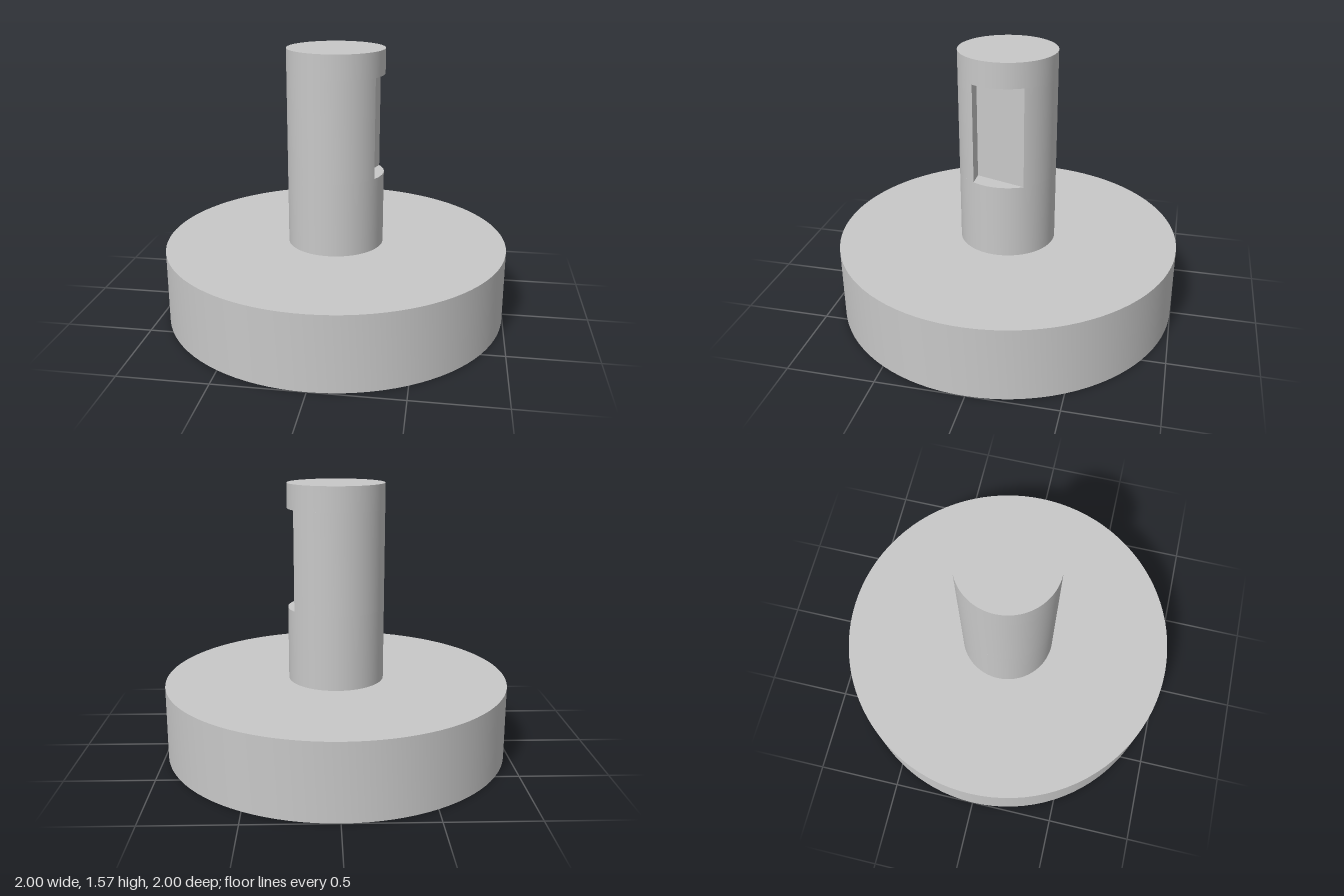
import * as THREE from 'three';
import { toCreasedNormals } from 'three/addons/utils/BufferGeometryUtils.js';

const SEGMENTS = 96;
const BASE_TOP = 0.429, SHAFT_TOP = 1.571, SHAFT_R = 0.279;
const SLOT = { bottom: 0.857, top: 1.429, halfWidth: 0.143, floorX: 0.143 };

export function createModel() {
  const model = new THREE.Group();
  model.name = 'slottedShaftOnDisc';
  const steel = new THREE.MeshStandardMaterial({ color: 0xc8c8c8 });
  steel.name = 'light grey';

  const add = (name, geometry, y = 0) => {
    const mesh = new THREE.Mesh(geometry, steel);
    mesh.name = name;
    mesh.position.y = y;
    model.add(mesh);
  };

  // Disc with a shallow round recess underneath
  const profile = [[0, 0.095], [0.322, 0.095], [0.322, 0], [1, 0], [1, BASE_TOP], [0, BASE_TOP]]
    .map(([r, y]) => new THREE.Vector2(r, y));
  add('disc', toCreasedNormals(new THREE.LatheGeometry(profile, SEGMENTS), 0.5));

  // Full round shaft sections below and above the keyway
  const section = (name, y0, y1) =>
    add(name, new THREE.CylinderGeometry(SHAFT_R, SHAFT_R, y1 - y0, SEGMENTS), (y0 + y1) / 2);
  section('lowerShaft', BASE_TOP, SLOT.bottom);
  section('upperShaft', SLOT.top, SHAFT_TOP);

  // Middle section with the keyway cut into its left (+x) side
  const edge = Math.asin(SLOT.halfWidth / SHAFT_R);
  const outline = new THREE.Shape();
  outline.moveTo(SLOT.floorX, SLOT.halfWidth);
  outline.absarc(0, 0, SHAFT_R, edge, Math.PI * 2 - edge, false);
  outline.lineTo(SLOT.floorX, -SLOT.halfWidth);
  outline.closePath();
  const middle = new THREE.ExtrudeGeometry(outline, {
    depth: SLOT.top - SLOT.bottom, bevelEnabled: false, curveSegments: SEGMENTS / 2,
  });
  middle.rotateX(-Math.PI / 2);
  add('keywayShaft', toCreasedNormals(middle, 0.5), SLOT.bottom);

  return model;
}
